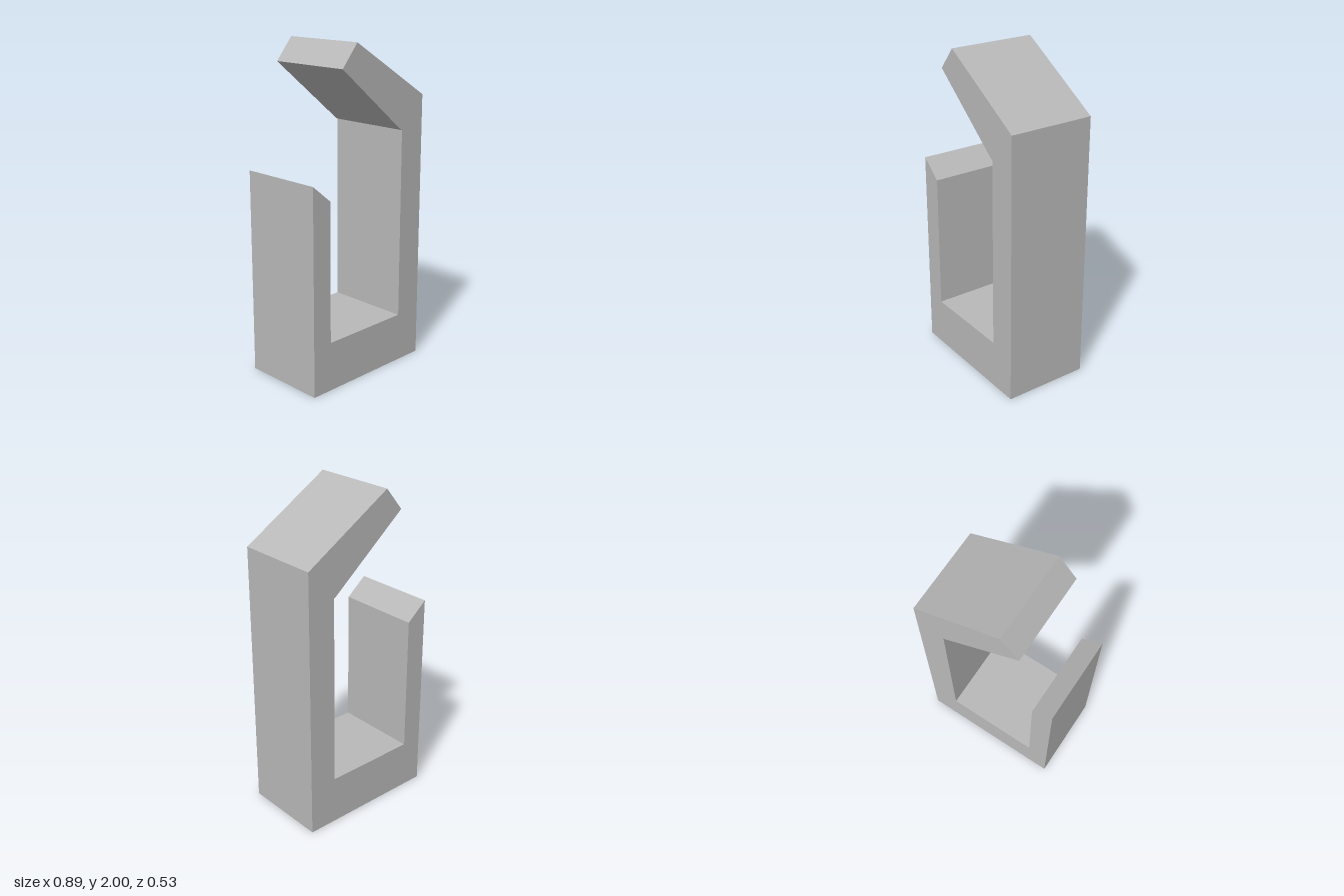
import * as THREE from 'three';

export function createModel() {
  const group = new THREE.Group();
  group.name = 'hook';

  const grey = new THREE.MeshStandardMaterial({ color: 0xb8b8b8 });
  grey.name = 'plain grey';

  // Open hook outline: base, tall post with slanted arm, short post
  const outline = [
    [-0.447, 0], [0.447, 0], [0.447, 1.66], [-0.11, 2], [-0.222, 1.865],
    [0.258, 1.472], [0.27, 1.467], [0.27, 0.302], [-0.316, 0.302],
    [-0.316, 1.148], [-0.447, 1.256],
  ];
  const shape = new THREE.Shape(outline.map(([x, y]) => new THREE.Vector2(x, y)));

  // Extrude across the width and centre on z
  const depth = 0.534;
  const geometry = new THREE.ExtrudeGeometry(shape, { depth, bevelEnabled: false });
  geometry.translate(0, 0, -depth / 2);

  const body = new THREE.Mesh(geometry, grey);
  body.name = 'hookBody';
  group.add(body);
  return group;
}
